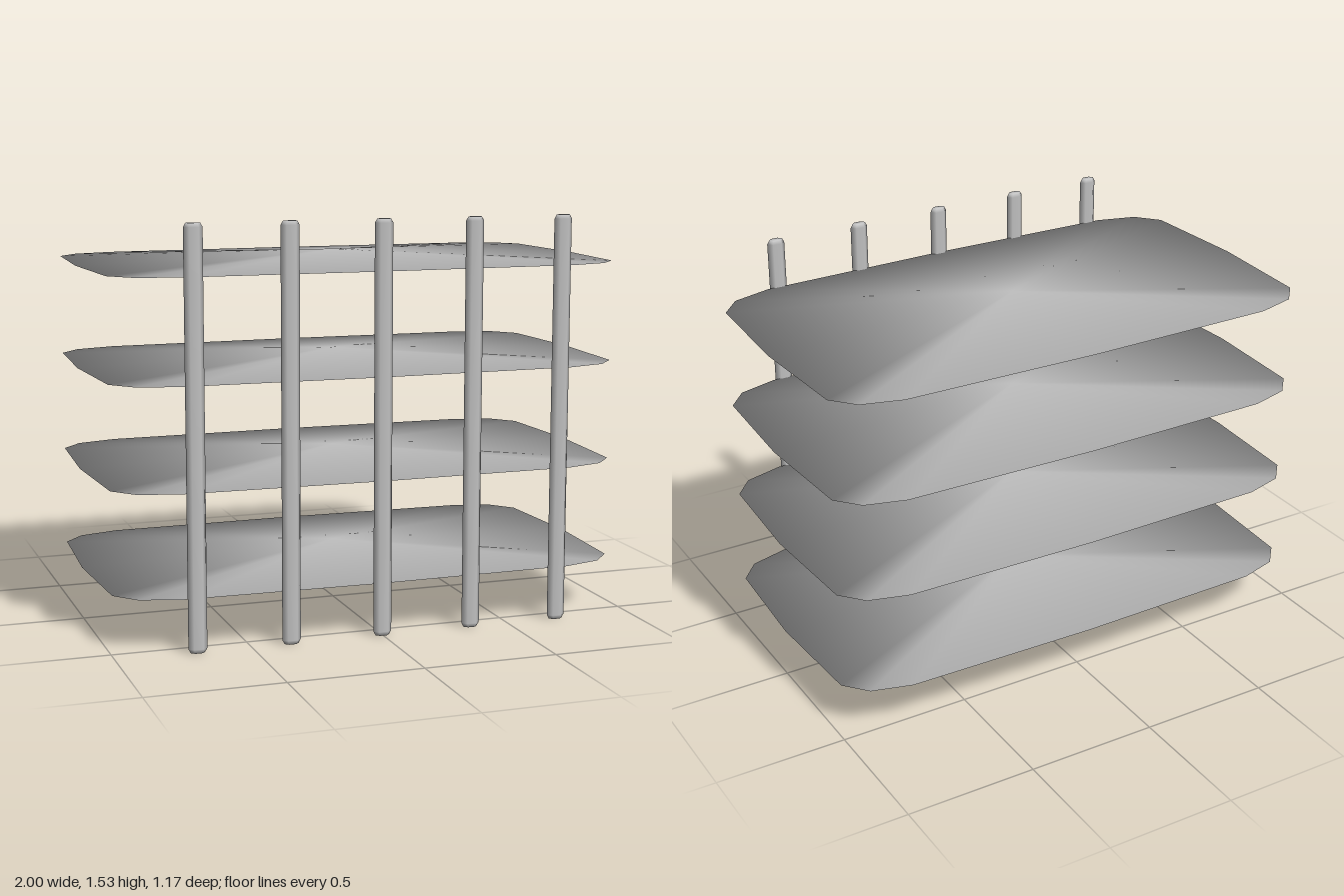
import * as THREE from 'three';

const grey = new THREE.MeshStandardMaterial({ color: 0xc0c0c0 });
grey.name = 'plain grey';

// Thin cushion-like slab: a rounded-rectangle rim fanned to a top and a bottom apex
function slabGeometry(halfX, halfY, halfZ, sides = 16) {
  const soft = (v) => (Math.abs(v) < 1e-6 ? 0 : Math.sign(v) * Math.abs(v) ** 0.3);
  const position = [0, halfY, 0, 0, -halfY, 0];
  const index = [];
  for (let i = 0; i < sides; i++) {
    const a = (i / sides) * Math.PI * 2;
    position.push(halfX * soft(Math.cos(a)), 0, halfZ * soft(Math.sin(a)));
    const p = 2 + i, q = 2 + ((i + 1) % sides);
    index.push(0, q, p, 1, p, q);
  }
  const geometry = new THREE.BufferGeometry();
  geometry.setAttribute('position', new THREE.Float32BufferAttribute(position, 3));
  geometry.setIndex(index);
  geometry.computeVertexNormals(); // shared rim keeps the shading soft
  return geometry;
}

// Flattened six-sided bar with slightly bevelled ends
function barGeometry(height, radius, halfDepth) {
  const profile = [
    [0, 0], [radius * 0.75, 0], [radius, 0.015],
    [radius, height - 0.015], [radius * 0.75, height], [0, height],
  ].map(([r, y]) => new THREE.Vector2(r, y));
  const geometry = new THREE.LatheGeometry(profile, 6, Math.PI / 2);
  geometry.scale(1, 1, halfDepth / (radius * Math.sin(Math.PI / 3)));
  return geometry;
}

export function createModel() {
  const model = new THREE.Group();
  model.name = 'barredShelves';

  // Four stacked shelves
  const shelf = slabGeometry(1, 0.037, 0.579);
  for (let i = 0; i < 4; i++) {
    const mesh = new THREE.Mesh(shelf, grey);
    mesh.name = `shelf${i + 1}`;
    mesh.position.set(0, 0.195 + i * 0.382, -0.008);
    model.add(mesh);
  }

  // Five upright bars along the front
  const bar = barGeometry(1.53, 0.035, 0.017);
  for (let i = 0; i < 5; i++) {
    const mesh = new THREE.Mesh(bar, grey);
    mesh.name = `frontBar${i + 1}`;
    mesh.position.set(-0.7 + i * 0.35, 0, 0.57);
    model.add(mesh);
  }
  return model;
}
